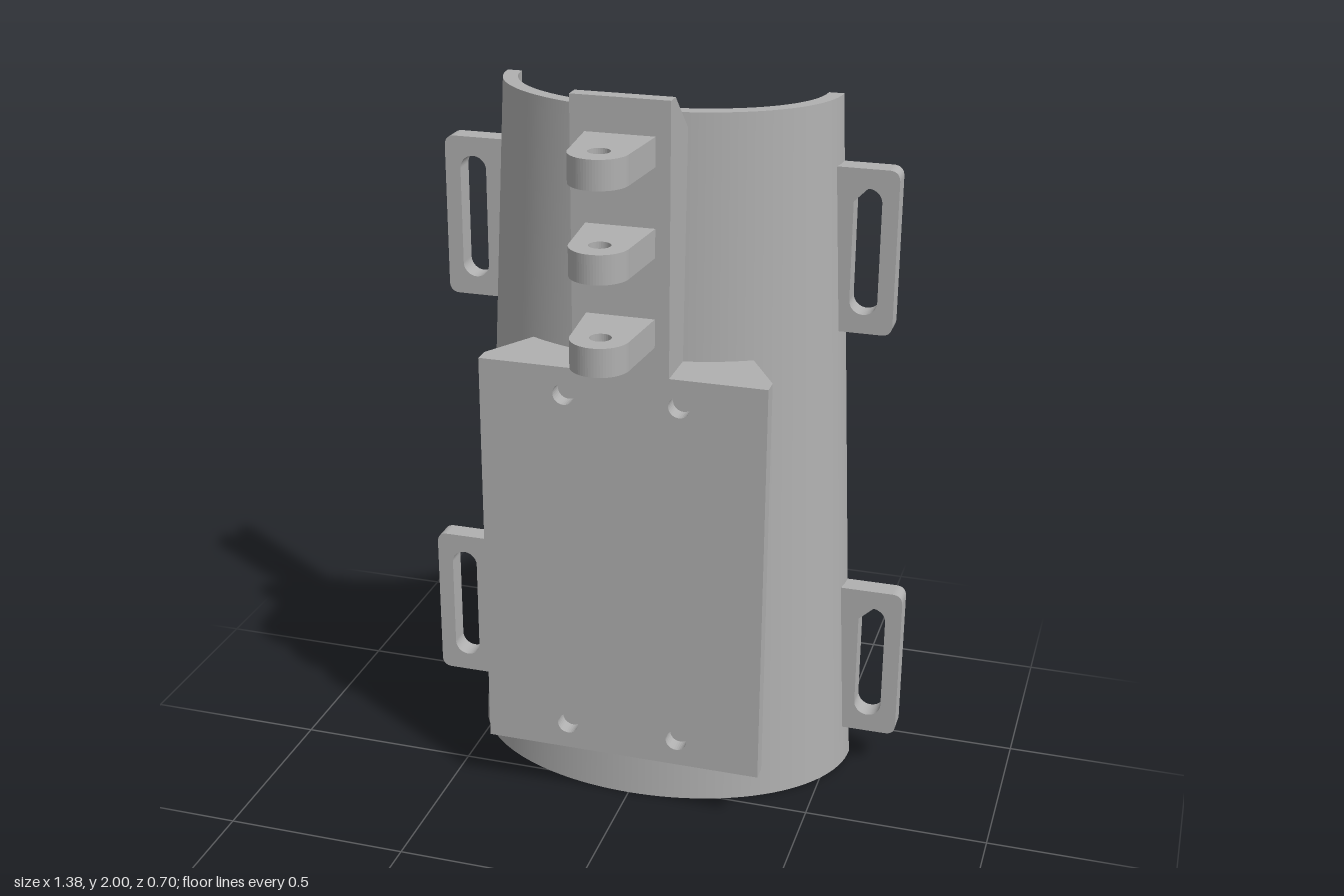
import * as THREE from 'three';
import { toCreasedNormals } from 'three/addons/utils/BufferGeometryUtils.js';

const HEIGHT = 1.935, BACK = -0.35, FRONT = 0.11;

// Outer half-ellipse radii of the tapered shell at height y
const radii = (y) => {
  const t = y / HEIGHT;
  return [0.551 - 0.096 * t, 0.395 - 0.078 * t];
};

// Solid between two matching [x, z] outlines, counter-clockwise seen from above
function loft(low, y0, high, y1) {
  const pos = [];
  const n = low.length;
  const a = (i) => [low[i % n][0], y0, low[i % n][1]];
  const b = (i) => [high[i % n][0], y1, high[i % n][1]];
  for (let i = 0; i < n; i++) {
    pos.push(...a(i), ...a(i + 1), ...b(i + 1), ...a(i), ...b(i + 1), ...b(i));
  }
  const outline = low.map(([x, z]) => new THREE.Vector2(x, -z));
  for (const [i, j, k] of THREE.ShapeUtils.triangulateShape(outline, [])) {
    pos.push(...a(i), ...a(k), ...a(j), ...b(i), ...b(j), ...b(k));
  }
  const g = new THREE.BufferGeometry();
  g.setAttribute('position', new THREE.Float32BufferAttribute(pos, 3));
  return toCreasedNormals(g, 0.5);
}

// Cross-section of the curved shell wall
function shellSection(y, wall = 0.04, steps = 56) {
  const [rx, rz] = radii(y);
  const outer = [], inner = [];
  for (let i = 0; i <= steps; i++) {
    const t = Math.PI * (1 - i / steps);
    outer.push([rx * Math.cos(t), BACK + rz * Math.sin(t)]);
    inner.unshift([(rx - wall) * Math.cos(t), BACK + (rz - wall) * Math.sin(t)]);
  }
  return [...outer, ...inner];
}

// Cross-section of the plate's body, its back sunk slightly into the shell
function bodySection(y, reach, steps = 20) {
  const [rx, rz] = radii(y).map((r) => r - 0.015);
  const points = [[-0.385, 0.065], [0.385, 0.065]];
  for (let i = 0; i <= steps; i++) {
    const x = reach * (1 - (2 * i) / steps);
    points.push([x, BACK + rz * Math.sqrt(1 - (x / rx) ** 2)]);
  }
  return points;
}

const extrude = (shape, depth) =>
  new THREE.ExtrudeGeometry(shape, { depth, bevelEnabled: false, curveSegments: 16 });

const circle = (x, y, r) => new THREE.Path().absarc(x, y, r, 0, Math.PI * 2, true);

// Strap lug with a rounded slot; side is +1 or -1
function lugShape(side, outer, y0, y1, slotIn, slotOut) {
  const r = 0.03;
  const edge = (y) => radii(y)[0] - 0.02;
  const s = new THREE.Shape();
  s.moveTo(side * edge(y0), y0);
  s.lineTo(side * (outer - r), y0);
  s.quadraticCurveTo(side * outer, y0, side * outer, y0 + r);
  s.lineTo(side * outer, y1 - r);
  s.quadraticCurveTo(side * outer, y1, side * (outer - r), y1);
  s.lineTo(side * edge(y1), y1);
  const slotR = (slotOut - slotIn) / 2;
  const cx = side * (slotIn + slotOut) / 2;
  const slot = new THREE.Path();
  slot.absarc(cx, y1 - 0.052 - slotR, slotR, 0, Math.PI, false);
  slot.absarc(cx, y0 + 0.052 + slotR, slotR, Math.PI, Math.PI * 2, false);
  s.holes.push(slot);
  return s;
}

export function createModel() {
  const model = new THREE.Group();
  const gray = new THREE.MeshStandardMaterial({ color: 0xb0b0b0 });
  gray.name = 'gray';
  const add = (name, geometry) => {
    const mesh = new THREE.Mesh(geometry, gray);
    mesh.name = name;
    model.add(mesh);
    return mesh;
  };

  // Tapered half shell
  add('shell', loft(shellSection(0), 0, shellSection(HEIGHT), HEIGHT));

  // Mounting plate: body that hugs the shell, and a face with screw holes
  const y0 = 0.16, y1 = 1.29;
  add('plateBody', loft(bodySection(y0, 0.315), y0, bodySection(y1, 0.293), y1));
  const face = new THREE.Shape([
    new THREE.Vector2(-0.385, y0), new THREE.Vector2(0.385, y0),
    new THREE.Vector2(0.385, y1), new THREE.Vector2(-0.385, y1),
  ]);
  for (const x of [-0.155, 0.155]) {
    for (const y of [0.235, 1.215]) face.holes.push(circle(x, y, 0.029));
  }
  add('plateFace', extrude(face, FRONT - 0.065)).position.z = 0.065;

  // Upright rail, drawn as a side profile (z, y) and extruded across x
  const rail = new THREE.Shape([
    [FRONT, 1.28], [FRONT, 2], [0.07, 2], [-0.05, 1.892], [-0.035, 1.28],
  ].map(([z, y]) => new THREE.Vector2(-z, y)));
  const railMesh = add('rail', extrude(rail, 0.256));
  railMesh.rotation.y = Math.PI / 2;
  railMesh.position.x = -0.128;

  // Hinge tabs, drawn in plan (x, -z) and extruded upwards
  const tab = new THREE.Shape();
  tab.moveTo(-0.091, -0.1);
  tab.lineTo(-0.076, -0.275);
  tab.absarc(0, -0.275, 0.076, Math.PI, Math.PI * 2, false);
  tab.lineTo(0.091, -0.1);
  tab.holes.push(circle(0, -0.273, 0.028));
  for (const y of [1.37, 1.605, 1.835]) {
    const mesh = add('hingeTab', extrude(tab, 0.075));
    mesh.rotation.x = -Math.PI / 2;
    mesh.position.y = y;
  }

  // Four strap lugs along the back edges
  for (const side of [1, -1]) {
    const name = side > 0 ? 'left' : 'right';
    add(name + 'UpperLug', extrude(lugShape(side, 0.62, 1.315, 1.76, 0.503, 0.577), 0.06)).position.z = BACK;
    add(name + 'LowerLug', extrude(lugShape(side, 0.69, 0.115, 0.56, 0.57, 0.645), 0.06)).position.z = BACK;
  }
  return model;
}
